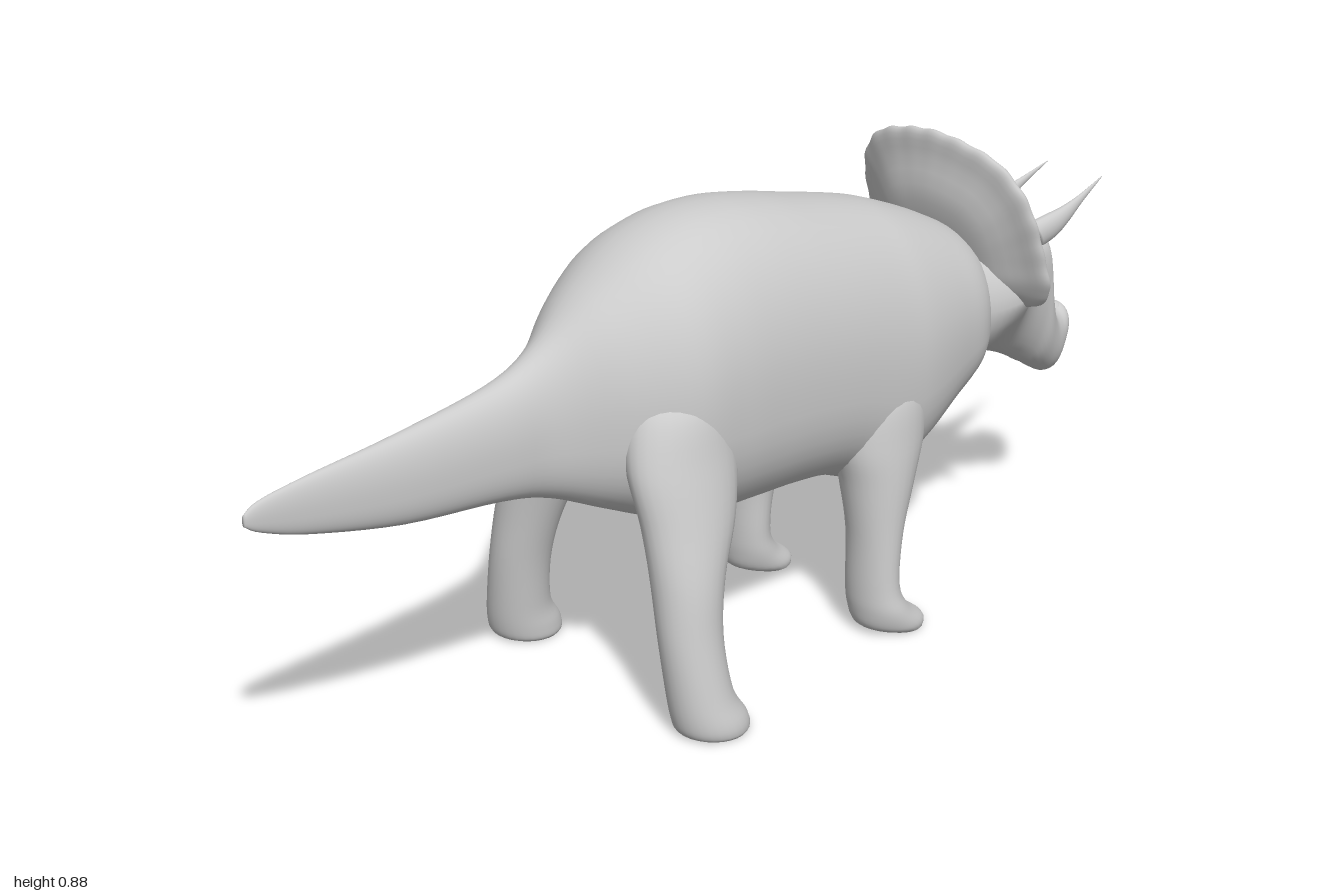
import * as THREE from 'three';

const material = new THREE.MeshStandardMaterial({ color: 0xcccccc, roughness: 0.8 });

// Catmull-Rom blend of the number rows that describe the cross-sections
function sampleRows(rows, steps) {
  const out = [];
  const last = rows.length - 1;
  for (let i = 0; i < last; i++) {
    const [a, b, c, d] = [rows[Math.max(i - 1, 0)], rows[i], rows[i + 1], rows[Math.min(i + 2, last)]];
    for (let s = 0; s < steps; s++) {
      const t = s / steps;
      out.push(b.map((_, k) => 0.5 * (2 * b[k] + (c[k] - a[k]) * t
        + (2 * a[k] - 5 * b[k] + 4 * c[k] - d[k]) * t * t
        + (3 * b[k] - a[k] - 3 * c[k] + d[k]) * t * t * t)));
    }
  }
  out.push(rows[last]);
  return out;
}

// Closed smooth skin through rings; place(row, u) gives the ring point at u in 0..1
function loft(name, rows, place, sides = 40, steps = 5) {
  const rings = sampleRows(rows, steps).map((row) =>
    Array.from({ length: sides }, (_, j) => place(row, j / sides)));
  const points = rings.flat();
  const index = [];
  for (let i = 0; i < rings.length - 1; i++) {
    for (let j = 0; j < sides; j++) {
      const a = i * sides + j, b = i * sides + (j + 1) % sides;
      index.push(a, b, a + sides, b, b + sides, a + sides);
    }
  }
  // end caps
  for (const [ring, start, flip] of [[rings[0], 0, true], [rings.at(-1), points.length - sides, false]]) {
    const centre = ring.reduce((sum, p) => sum.add(p), new THREE.Vector3()).divideScalar(sides);
    const c = points.push(centre) - 1;
    for (let j = 0; j < sides; j++) {
      const a = start + j, b = start + (j + 1) % sides;
      index.push(...(flip ? [b, a, c] : [a, b, c]));
    }
  }
  // turn the faces outward when the enclosed volume comes out negative
  let volume = 0;
  const cross = new THREE.Vector3();
  for (let i = 0; i < index.length; i += 3) {
    volume += points[index[i]].dot(cross.crossVectors(points[index[i + 1]], points[index[i + 2]]));
  }
  if (volume < 0) index.reverse();
  const geometry = new THREE.BufferGeometry().setFromPoints(points);
  geometry.setIndex(index);
  geometry.computeVertexNormals();
  const mesh = new THREE.Mesh(geometry, material);
  mesh.name = name;
  return mesh;
}

const power = (v, e) => Math.sign(v) * Math.abs(v) ** e;

// Upright section across x: row = [x, top, bottom, halfWidth, height of the widest point 0..1,
// upper exponent, lower exponent]; exponents are boxy below 1 and pinched above 1
function upright([x, top, bottom, w, widest = 0.45, upper = 0.94, lower = 0.76], u) {
  const sin = Math.sin(u * 2 * Math.PI), e = sin > 0 ? upper : lower;
  const c = power(Math.cos(u * 2 * Math.PI), e), s = power(sin, e);
  const mid = bottom + (top - bottom) * widest;
  return new THREE.Vector3(x, mid + s * (s > 0 ? top - mid : mid - bottom), w * c);
}

// Level section for legs: row = [y, x, z, radiusX, radiusZ]
const level = (side) => ([y, x, z, rx, rz], u) => new THREE.Vector3(
  x + rx * Math.cos(u * 2 * Math.PI), y, side * (z + rz * Math.sin(u * 2 * Math.PI)));

// Round section for horns: row = [x, y, z, radius]
const round = (side) => ([x, y, z, r], u) => new THREE.Vector3(
  x - r * 0.5 * Math.sin(u * 2 * Math.PI), y + r * Math.sin(u * 2 * Math.PI),
  side * (z + 0.7 * r * Math.cos(u * 2 * Math.PI)));

const bodyRows = [
  [-1, 0.555, 0.535, 0.004], [-0.97, 0.572, 0.517, 0.01], [-0.88, 0.588, 0.487, 0.018],
  [-0.7, 0.61, 0.45, 0.034], [-0.5, 0.645, 0.433, 0.052], [-0.4, 0.69, 0.412, 0.072],
  [-0.3, 0.77, 0.37, 0.148], [-0.2, 0.833, 0.33, 0.205], [-0.1, 0.865, 0.312, 0.215],
  [0, 0.87, 0.308, 0.215], [0.1, 0.857, 0.306, 0.214], [0.2, 0.835, 0.295, 0.213],
  [0.32, 0.808, 0.255, 0.21], [0.4, 0.785, 0.282, 0.204], [0.5, 0.745, 0.345, 0.183],
  [0.58, 0.705, 0.392, 0.16], [0.65, 0.66, 0.43, 0.1],
];

// Broad cheeks under the frill, flat brow, steep face and narrow beak
const headRows = [
  [0.54, 0.69, 0.4, 0.13, 0.5, 1, 1], [0.62, 0.69, 0.4, 0.16, 0.52, 1, 1.2],
  [0.69, 0.69, 0.404, 0.165, 0.54, 1, 1.45], [0.75, 0.672, 0.39, 0.12, 0.58, 0.9, 1.3],
  [0.8, 0.66, 0.37, 0.094, 0.68, 0.75, 1], [0.84, 0.642, 0.347, 0.088, 0.74, 0.7, 0.95],
  [0.865, 0.555, 0.334, 0.08, 0.6, 0.8, 0.95], [0.89, 0.495, 0.318, 0.068, 0.55, 0.85, 0.95],
  [0.915, 0.455, 0.306, 0.057, 0.55, 0.9, 0.95], [0.94, 0.443, 0.312, 0.048, 0.55, 0.95, 0.95],
  [0.965, 0.445, 0.36, 0.037, 0.5, 1, 1], [0.985, 0.425, 0.4, 0.014, 0.5, 1, 1],
];

// Thighs and shoulders widen upward and sink into the flanks
const rearLegRows = [
  [0.62, -0.195, 0.11, 0.05, 0.04], [0.57, -0.2, 0.13, 0.095, 0.07], [0.48, -0.21, 0.157, 0.113, 0.071],
  [0.38, -0.223, 0.19, 0.096, 0.066], [0.28, -0.25, 0.218, 0.07, 0.061], [0.18, -0.262, 0.238, 0.06, 0.056],
  [0.08, -0.257, 0.255, 0.06, 0.06], [0.03, -0.241, 0.262, 0.07, 0.067], [0.008, -0.234, 0.263, 0.069, 0.067],
  [0, -0.23, 0.263, 0.06, 0.062],
];

const frontLegRows = [
  [0.52, 0.3, 0.12, 0.06, 0.055], [0.46, 0.298, 0.135, 0.1, 0.075], [0.38, 0.29, 0.15, 0.098, 0.074],
  [0.3, 0.278, 0.16, 0.072, 0.071], [0.2, 0.262, 0.173, 0.048, 0.06], [0.1, 0.255, 0.178, 0.042, 0.06],
  [0.05, 0.267, 0.182, 0.052, 0.066], [0.015, 0.294, 0.183, 0.069, 0.067], [0, 0.309, 0.183, 0.052, 0.062],
];

const hornRows = [
  [0.8, 0.638, 0.07, 0.028], [0.84, 0.652, 0.077, 0.025], [0.88, 0.668, 0.08, 0.017],
  [0.93, 0.69, 0.078, 0.008], [1, 0.72, 0.072, 0.001],
];

// Frill outline as (z, y), one half mirrored to the other
const halfRim = [[0.1, 0.868], [0.16, 0.845], [0.205, 0.795], [0.222, 0.74], [0.227, 0.67],
  [0.226, 0.6], [0.2, 0.557], [0.14, 0.53], [0.08, 0.47]];
const rim = new THREE.CatmullRomCurve3([
  [0, 0.882], ...halfRim, [0, 0.44], ...halfRim.map(([z, y]) => [-z, y]).reverse(),
].map(([z, y]) => new THREE.Vector3(0, y, z)), true);

// Dished frill: row = [scale of the outline, forward offset], running front centre, rim, back centre
const frillRows = [[0.02, 0.09], [0.4, 0.045], [0.6, 0.016], [0.8, 0.002], [0.95, 0.002], [1, -0.006],
  [0.96, -0.02], [0.8, -0.035], [0.5, -0.068], [0.02, -0.07]];
function frillPoint([scale, forward], u) {
  const p = rim.getPointAt(u);
  // shallow scallops along the upper edge
  const scallop = p.y > 0.57 ? 1 + 0.006 * scale ** 6 * Math.cos(u * 2 * Math.PI * 24) : 1;
  const y = 0.6 + (p.y - 0.6) * scale * scallop;
  return new THREE.Vector3(0.585 + (0.885 - y) * 0.33 + forward, y, p.z * scale * scallop);
}

export function createModel() {
  const model = new THREE.Group();
  model.name = 'hornedDinosaur';
  model.add(loft('bodyAndTail', bodyRows, upright, 48));
  model.add(loft('head', headRows, upright));
  model.add(loft('neckFrill', frillRows, frillPoint, 144, 3));

  // paired parts, mirrored across z
  for (const side of [1, -1]) {
    const tag = side > 0 ? 'Near' : 'Far';
    model.add(loft('rearLeg' + tag, rearLegRows, level(side), 28));
    model.add(loft('frontLeg' + tag, frontLegRows, level(side), 28));
    model.add(loft('browHorn' + tag, hornRows, round(side), 20));
  }

  // small nose bump above the beak
  const bump = new THREE.Mesh(new THREE.SphereGeometry(0.025, 20, 14), material);
  bump.name = 'noseBump';
  bump.scale.set(1.1, 0.8, 0.9);
  bump.position.set(0.95, 0.428, 0);
  model.add(bump);
  return model;
}
